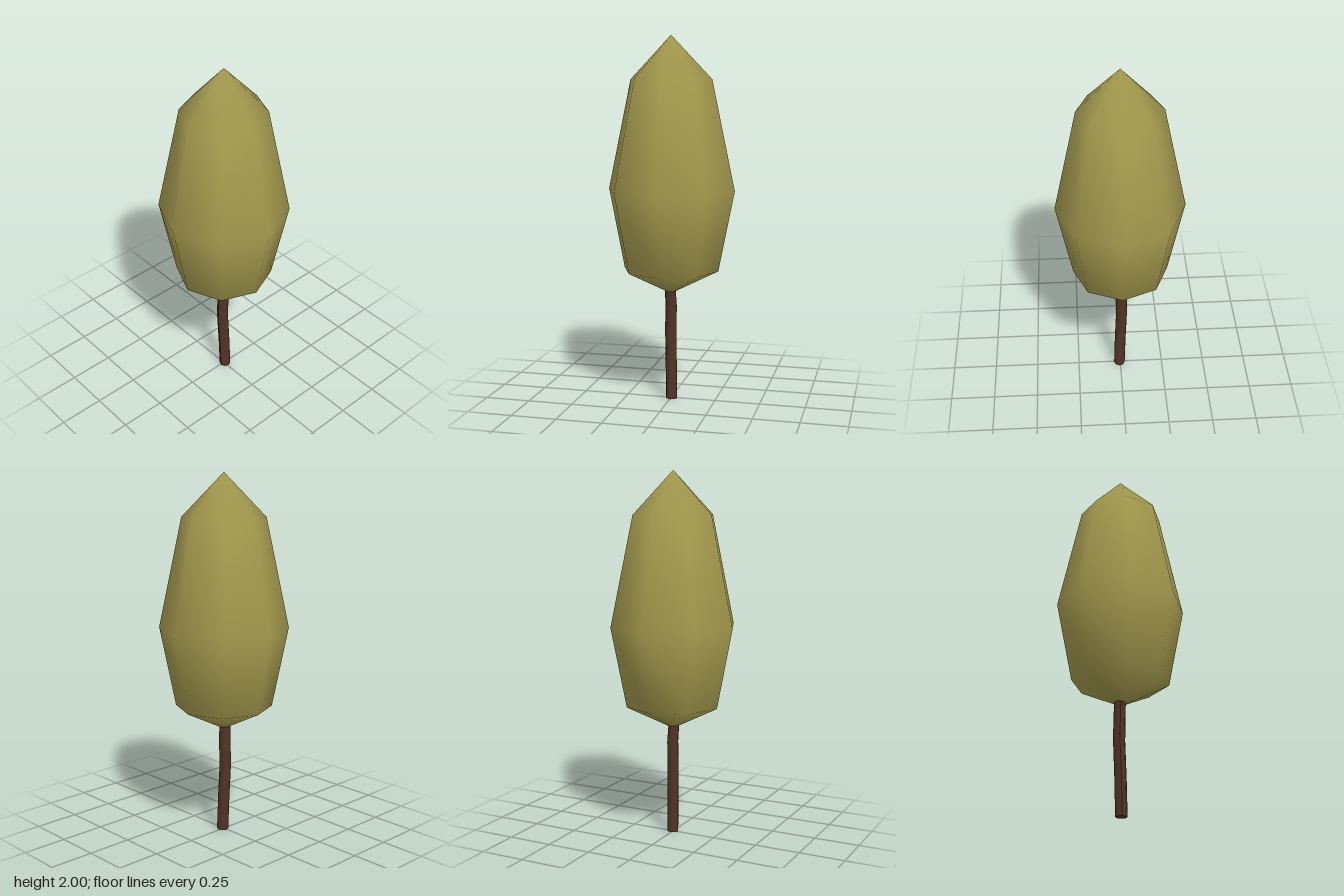
import * as THREE from 'three';
import { mergeVertices } from 'three/addons/utils/BufferGeometryUtils.js';

const SIDES = 8;

// Weld seams and poles so the shading runs smoothly over the whole surface
function smooth(geometry) {
  geometry.deleteAttribute('uv');
  geometry.deleteAttribute('normal');
  const welded = mergeVertices(geometry, 1e-4);
  welded.computeVertexNormals();
  return welded;
}

export function createModel() {
  const leafGreen = new THREE.MeshStandardMaterial({ name: 'leafGreen', color: 0xa59b4e });
  const barkBrown = new THREE.MeshStandardMaterial({ name: 'barkBrown', color: 0x523423 });

  const tree = new THREE.Group();
  tree.name = 'tree';

  // Crown: tall eight-sided bud, pointed at both ends
  const profile = [[0, 0.595], [0.265, 0.73], [0.352, 1.17], [0.226, 1.765], [0, 2]]
    .map(([r, y]) => new THREE.Vector2(r, y));
  const crown = new THREE.Mesh(smooth(new THREE.LatheGeometry(profile, SIDES)), leafGreen);
  crown.name = 'crown';
  tree.add(crown);

  // Trunk: slim cylinder whose rings are shifted to bend it slightly
  const bends = [ // y, x, z, radius
    [0, 0.005, -0.005, 0.032],
    [0.2, 0, -0.001, 0.032],
    [0.4, -0.008, 0.004, 0.032],
    [0.52, -0.006, 0, 0.032],
    [0.64, -0.003, 0.007, 0.031],
  ];
  const trunkGeometry = new THREE.CylinderGeometry(1, 1, 1, SIDES, bends.length - 1);
  const p = trunkGeometry.attributes.position;
  for (let i = 0; i < p.count; i++) {
    const [y, x, z, r] = bends[Math.round((p.getY(i) + 0.5) * (bends.length - 1))];
    p.setXYZ(i, x + p.getX(i) * r, y, z + p.getZ(i) * r);
  }
  trunkGeometry.computeVertexNormals();
  const trunk = new THREE.Mesh(trunkGeometry, barkBrown);
  trunk.name = 'trunk';
  tree.add(trunk);

  return tree;
}
